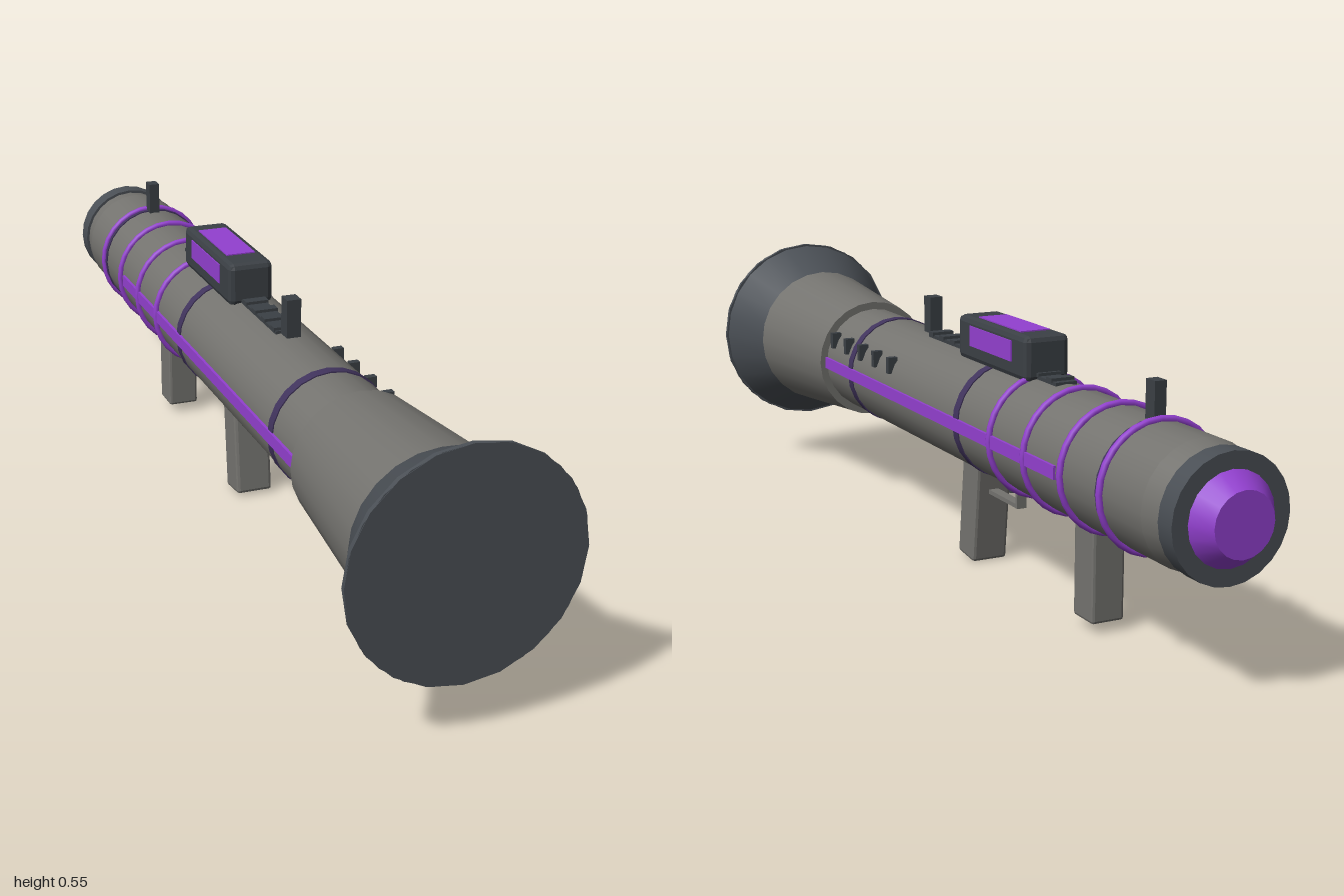
import * as THREE from 'three';
import { RoundedBoxGeometry } from 'three/addons/geometries/RoundedBoxGeometry.js';

const AXIS = 0.33; // height of the tube's centre line
const material = (name, color) => {
  const m = new THREE.MeshStandardMaterial({ color });
  m.name = name;
  return m;
};

export function createModel() {
  const model = new THREE.Group();
  model.name = 'shoulderLauncher';
  const body = material('body grey', 0x74736f);
  const dark = material('dark steel', 0x4a4f55);
  const black = material('fitting grey', 0x3b4045);
  const purple = material('bright purple', 0x9340d0);
  const violet = material('band violet', 0x40335c);

  const add = (name, geometry, mat, x = 0, y = 0, z = 0) => {
    const mesh = new THREE.Mesh(geometry, mat);
    mesh.name = name;
    mesh.position.set(x, y, z);
    model.add(mesh);
    return mesh;
  };
  // Round section along z, from z0 (radius r0) forward to z1 (radius r1)
  const section = (name, mat, z0, z1, r0, r1, sides = 24) => {
    const g = new THREE.CylinderGeometry(r1, r0, z1 - z0, sides).rotateX(Math.PI / 2);
    return add(name, g, mat, 0, AXIS, (z0 + z1) / 2);
  };
  const box = (name, mat, w, h, d, x, y, z) =>
    add(name, new THREE.BoxGeometry(w, h, d), mat, x, y, z);
  // Box with chamfered edges
  const chamferBox = (name, mat, w, h, d, c, x, y, z) => {
    const g = new RoundedBoxGeometry(w, h, d, 1, c);
    g.computeVertexNormals();
    return add(name, g, mat, x, y, z);
  };

  // Barrel, from the flared end to the nose
  section('flare', dark, 0.88, 0.999, 0.165, 0.223);
  section('flareCover', dark, 0.99, 1, 0.2235, 0.2235, 20);
  section('cone', body, 0.55, 0.88, 0.137, 0.165);
  section('tube', body, -0.87, 0.56, 0.12, 0.12);
  section('tubeTaper', body, -0.925, -0.87, 0.111, 0.12);
  section('collar', dark, -0.962, -0.92, 0.118, 0.118);
  section('nose', purple, -1, -0.96, 0.06, 0.088, 20);

  // Flat violet bands and raised purple rings
  for (const z of [0.403, -0.157, -0.732]) section('band', violet, z - 0.011, z + 0.011, 0.1225, 0.1225);
  for (const z of [-0.313, -0.455, -0.597, -0.738]) {
    add('ring', new THREE.TorusGeometry(0.123, 0.007, 8, 28), purple, 0, AXIS, z);
  }

  // Side stripes
  for (const s of [-1, 1]) box('sideStripe', purple, 0.009, 0.026, 1.125, s * 0.1195, AXIS, -0.0125);

  // Vents along one side
  for (let i = 0; i < 5; i++) {
    box('vent', black, 0.022, 0.036, 0.014, 0.108, 0.388, 0.52 - i * 0.082);
  }

  // Top rail with teeth
  box('rail', black, 0.046, 0.02, 0.58, 0, 0.444, -0.11);
  for (let i = 0; i < 11; i++) box('railTooth', black, 0.05, 0.008, 0.022, 0, 0.456, 0.165 - i * 0.054);

  // Sights
  box('rearSight', black, 0.03, 0.08, 0.032, 0, 0.492, 0.205);
  box('frontSight', black, 0.024, 0.08, 0.03, 0, 0.481, -0.72);

  // Scope with purple panels on the top and both sides
  chamferBox('scope', black, 0.098, 0.092, 0.304, 0.012, 0, 0.486, -0.173);
  box('scopeTopPanel', purple, 0.064, 0.006, 0.186, 0, 0.5315, -0.18);
  for (const s of [-1, 1]) box('scopeSidePanel', purple, 0.006, 0.042, 0.184, s * 0.0485, 0.495, -0.174);

  // Grips
  const grip = chamferBox('rearGrip', body, 0.08, 0.24, 0.074, 0.007, 0, 0.124, -0.051);
  grip.rotation.x = -0.11;
  chamferBox('foreGrip', body, 0.07, 0.21, 0.074, 0.006, 0, 0.126, -0.535);

  // Trigger housing, trigger and guard
  box('triggerHousing', black, 0.06, 0.02, 0.3, 0, 0.219, -0.05);
  const trigger = box('trigger', black, 0.014, 0.035, 0.01, 0, 0.195, -0.178);
  trigger.rotation.x = 0.25;
  box('guardBar', body, 0.022, 0.009, 0.135, 0, 0.159, -0.152);
  box('guardPost', body, 0.022, 0.062, 0.008, 0, 0.185, -0.2165);

  return model;
}
